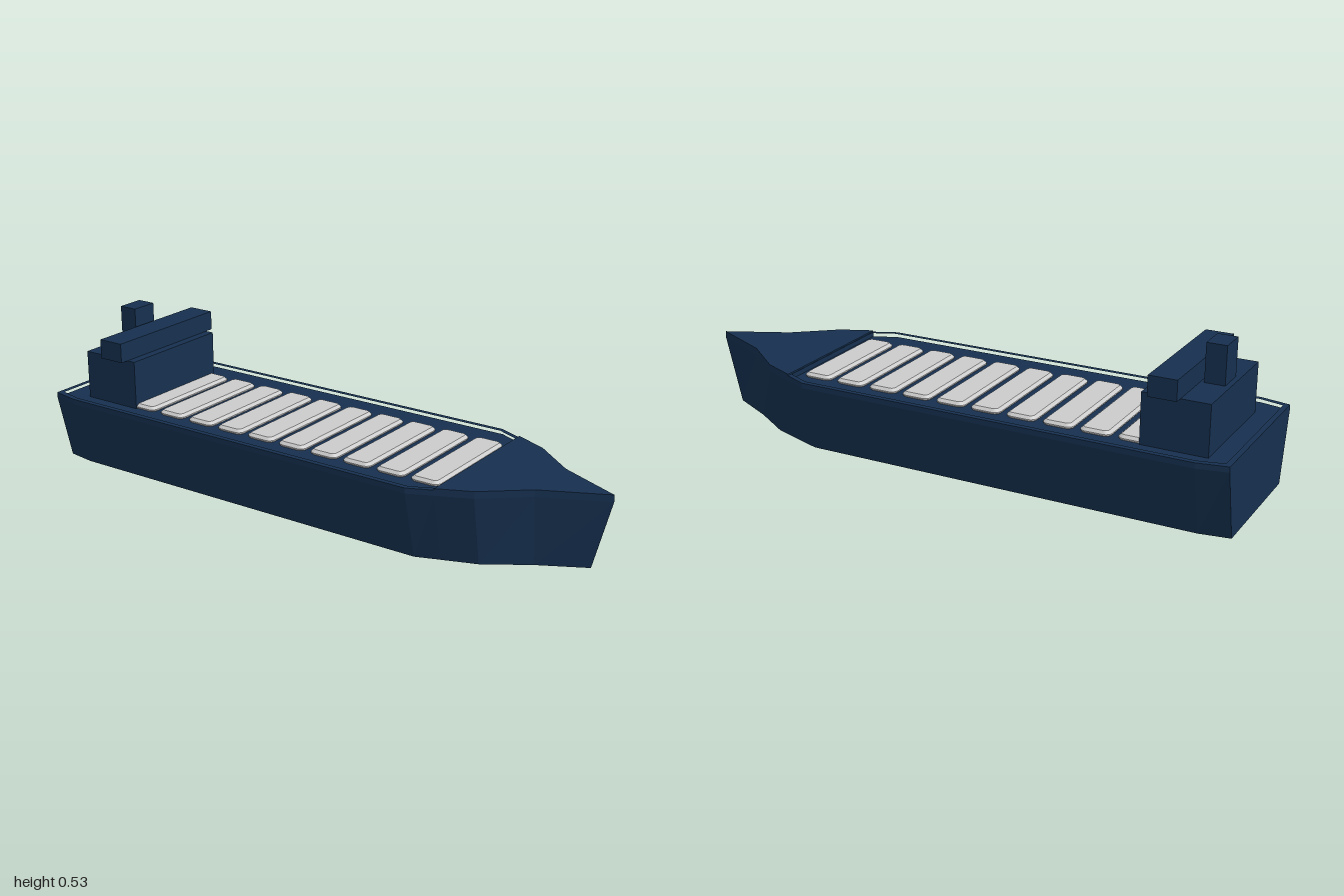
import * as THREE from 'three';

const navy = new THREE.MeshStandardMaterial({ color: 0x16304f, flatShading: true });
const grey = new THREE.MeshStandardMaterial({ color: 0xcccccc });

const DECK = 0.232;
const STEP = 0.54; // where the raised foredeck begins
// Half outline of the deck, stern to bow: [x, half width]
const outline = [[-1, 0.28], [-0.9, 0.3], [0.46, 0.3], [STEP, 0.264], [0.65, 0.215], [0.79, 0.1], [1, 0]];

function mesh(name, geometry, material = navy) {
  const m = new THREE.Mesh(geometry, material);
  m.name = name;
  return m;
}

// Box given by its x and y ranges and half width in z
function block(name, x0, x1, y0, y1, halfZ) {
  const m = mesh(name, new THREE.BoxGeometry(x1 - x0, y1 - y0, halfZ * 2));
  m.position.set((x0 + x1) / 2, (y0 + y1) / 2, 0);
  return m;
}

// Closed plan outline mirrored from its half
function plan(half) {
  const mirrored = half.filter(p => p[1] > 0).reverse().map(([x, z]) => [x, -z]);
  return [...half, ...mirrored].map(([x, z]) => new THREE.Vector2(x, z));
}

// Plan shape raised from y0 to y1
function slab(shape, y0, y1) {
  const g = new THREE.ExtrudeGeometry(shape, { depth: y1 - y0, bevelEnabled: false });
  return g.rotateX(-Math.PI / 2).translate(0, y0, 0);
}

// Hull body: flared sides, flat bottom and deck, flat transom, raked stem
function hullGeometry() {
  const pos = [];
  const quad = (a, b, c, d) => pos.push(...a, ...b, ...c, ...a, ...c, ...d);
  const st = outline.map(([x, z]) => {
    const xb = x === 1 ? 0.94 : x, zb = z * 0.8;
    return { bl: [xb, 0, zb], br: [xb, 0, -zb], tl: [x, DECK, z], tr: [x, DECK, -z] };
  });
  for (let i = 0; i < st.length - 1; i++) {
    const p = st[i], q = st[i + 1];
    quad(p.bl, q.bl, q.tl, p.tl);
    quad(q.br, p.br, p.tr, q.tr);
    quad(p.tl, q.tl, q.tr, p.tr);
    quad(p.br, q.br, q.bl, p.bl);
  }
  quad(st[0].br, st[0].bl, st[0].tl, st[0].tr);
  const g = new THREE.BufferGeometry();
  g.setAttribute('position', new THREE.Float32BufferAttribute(pos, 3));
  g.computeVertexNormals();
  return g;
}

// Hatch cover: rounded rectangle with a bevelled top edge
function hatchGeometry() {
  const w = 0.042, l = 0.197, r = 0.014, b = 0.01;
  const s = new THREE.Shape();
  s.absarc(w - r, l - r, r, 0, Math.PI / 2);
  s.absarc(-w + r, l - r, r, Math.PI / 2, Math.PI);
  s.absarc(-w + r, -l + r, r, Math.PI, Math.PI * 1.5);
  s.absarc(w - r, -l + r, r, Math.PI * 1.5, Math.PI * 2);
  s.closePath();
  const g = new THREE.ExtrudeGeometry(s, {
    depth: 0.004, bevelSize: b, bevelThickness: 0.009, bevelSegments: 1, curveSegments: 4,
  });
  return g.rotateX(-Math.PI / 2);
}

export function createModel() {
  const ship = new THREE.Group();
  ship.name = 'cargoShip';
  ship.add(mesh('hull', hullGeometry()));

  // Low bulwark around the main deck
  const aft = outline.filter(p => p[0] <= STEP);
  const wall = new THREE.Shape(plan(aft));
  const inner = aft.map(([x, z]) => [x === -1 ? -0.982 : x === STEP ? STEP - 0.002 : x, z - 0.018]);
  wall.holes.push(new THREE.Path(plan(inner)));
  ship.add(mesh('bulwark', slab(wall, DECK, 0.25)));

  // Raised foredeck
  const fore = outline.filter(p => p[0] >= STEP);
  ship.add(mesh('foredeck', slab(new THREE.Shape(plan(fore)), DECK, 0.255)));

  // Row of hatch covers
  const hatches = new THREE.Group();
  hatches.name = 'hatchCovers';
  const hatch = hatchGeometry();
  for (let i = 0; i < 10; i++) {
    const h = mesh('hatchCover', hatch, grey);
    h.position.set(0.467 - i * 0.1262, DECK + 0.003, 0);
    hatches.add(h);
  }
  ship.add(hatches);

  // Superstructure at the stern
  ship.add(block('deckhouse', -0.91, -0.692, DECK, 0.4, 0.21));
  ship.add(block('bridge', -0.815, -0.722, 0.4, 0.467, 0.24));
  ship.add(block('funnel', -0.893, -0.827, 0.4, 0.527, 0.048));
  return ship;
}
